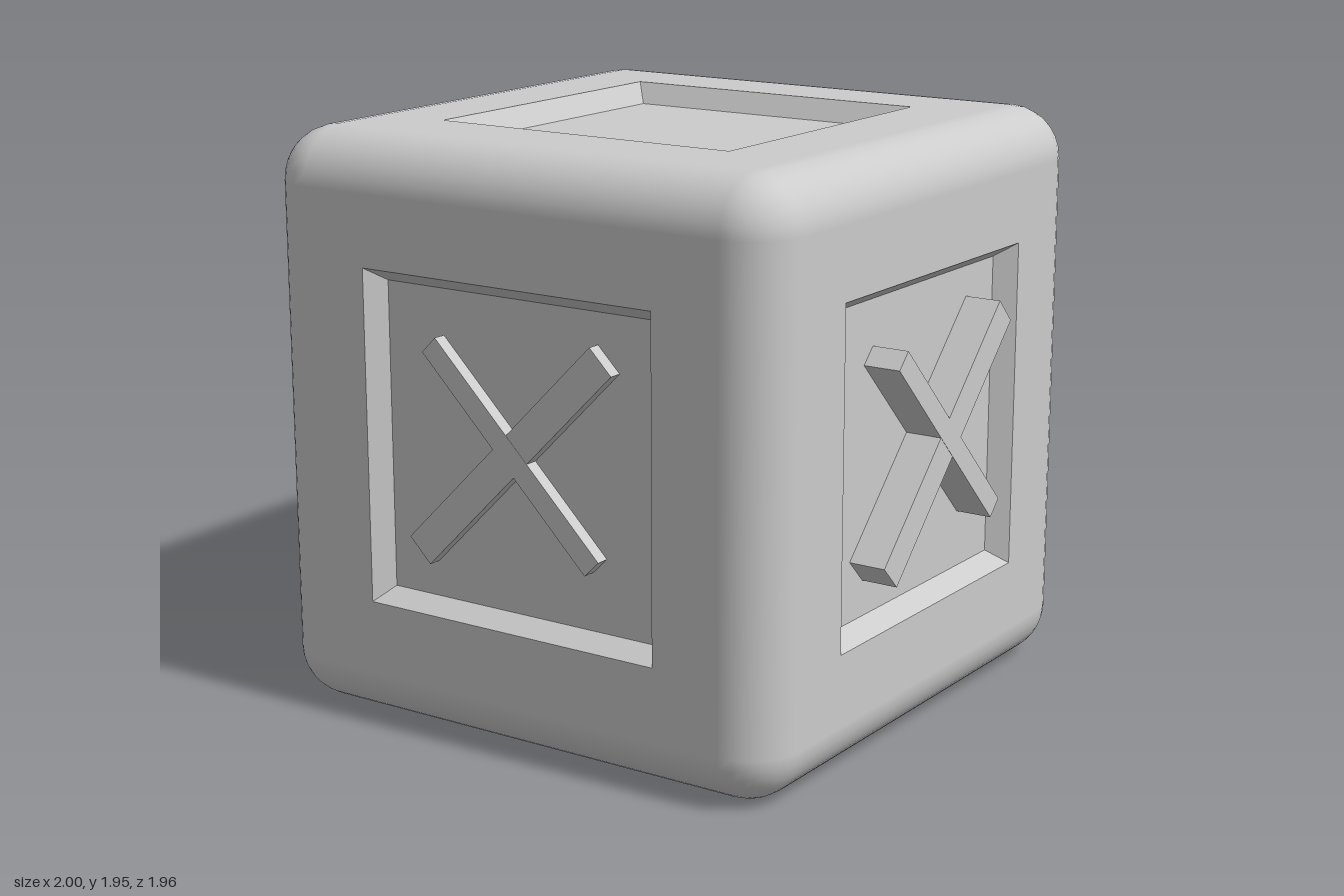
import * as THREE from 'three';
import { RoundedBoxGeometry } from 'three/addons/geometries/RoundedBoxGeometry.js';

const SIZE = 1.945, HALF = SIZE / 2, RADIUS = 0.18;
const OPENING = 0.555, FLOOR = 0.51, DEPTH = 0.07;
const CENTER = [-0.0275, HALF, 0.0075];

const grey = new THREE.MeshStandardMaterial({ color: 0xcccccc });
const greyFlat = new THREE.MeshStandardMaterial({ color: 0xcccccc, flatShading: true, side: THREE.DoubleSide });

function mesh(name, geometry, material = grey) {
  const m = new THREE.Mesh(geometry, material);
  m.name = name;
  return m;
}

// Rounded edges and corners only: the flat middle of each side is left out
function roundedShell() {
  const source = new RoundedBoxGeometry(SIZE, SIZE, SIZE, 4, RADIUS);
  const box = source.index ? source.toNonIndexed() : source;
  const p = box.attributes.position, n = box.attributes.normal;
  const positions = [], normals = [];
  const isFlat = i => Math.max(Math.abs(n.getX(i)), Math.abs(n.getY(i)), Math.abs(n.getZ(i))) > 0.9999;
  for (let i = 0; i < p.count; i += 3) {
    if (isFlat(i) && isFlat(i + 1) && isFlat(i + 2)) continue;
    for (let j = i; j < i + 3; j++) {
      positions.push(p.getX(j), p.getY(j), p.getZ(j));
      normals.push(n.getX(j), n.getY(j), n.getZ(j));
    }
  }
  const g = new THREE.BufferGeometry();
  g.setAttribute('position', new THREE.Float32BufferAttribute(positions, 3));
  g.setAttribute('normal', new THREE.Float32BufferAttribute(normals, 3));
  return g;
}

function square(Type, h) {
  return new Type([[-h, -h], [h, -h], [h, h], [-h, h]].map(([x, y]) => new THREE.Vector2(x, y)));
}

// One side facing +z: flat frame, sloping recess walls and recess floor
function panel(name) {
  const side = new THREE.Group();
  side.name = name;
  const shape = square(THREE.Shape, HALF - RADIUS);
  shape.holes.push(square(THREE.Path, OPENING));
  const frame = mesh('panelFrame', new THREE.ShapeGeometry(shape));
  frame.position.z = HALF;

  const wallGeometry = new THREE.CylinderGeometry(OPENING * Math.SQRT2, FLOOR * Math.SQRT2, DEPTH, 4, 1, true);
  wallGeometry.rotateY(Math.PI / 4).rotateX(Math.PI / 2);
  const walls = mesh('recessWalls', wallGeometry, greyFlat);
  walls.position.z = HALF - DEPTH / 2;

  const floor = mesh('recessFloor', new THREE.PlaneGeometry(FLOOR * 2, FLOOR * 2));
  floor.position.z = HALF - DEPTH;
  side.add(frame, walls, floor);
  return side;
}

// A diagonal bar rooted in the recess floor; rise is its height above the face
function bar(name, length, width, x, y, angle, rise) {
  const bottom = HALF - DEPTH - 0.02, top = HALF + rise;
  const b = mesh(name, new THREE.BoxGeometry(length, width, top - bottom));
  b.position.set(x, y, (top + bottom) / 2);
  b.rotation.z = angle;
  return b;
}

export function createModel() {
  const model = new THREE.Group();
  model.name = 'crate';
  const body = new THREE.Group();
  body.name = 'body';
  body.position.set(...CENTER);
  model.add(body);
  body.add(mesh('roundedShell', roundedShell()));

  // name, turn about x, turn about y, bar rise, horizontal bar shift, mirrored cross
  const sides = [
    ['frontSide', 0, 0, -0.025, -0.008, 1],
    ['backSide', 0, Math.PI, 0.0155, 0.008, -1],
    ['leftSide', 0, Math.PI / 2, 0.055, 0.008, 1],
    ['rightSide', 0, -Math.PI / 2, -0.045, -0.008, -1],
    ['topSide', -Math.PI / 2, 0, null],
    ['bottomSide', Math.PI / 2, 0, null],
  ];
  for (const [name, rx, ry, rise, shift, dir] of sides) {
    const side = panel(name);
    side.rotation.set(rx, ry, 0);
    if (rise !== null) {
      side.add(bar('longBar', 1.018, 0.113, shift, 0.008, dir * Math.PI / 4, rise));
      side.add(bar('shortBar', 0.885, 0.074, shift + dir * 0.008, 0.02, -dir * Math.PI / 4, rise + 0.001));
    }
    body.add(side);
  }
  return model;
}
